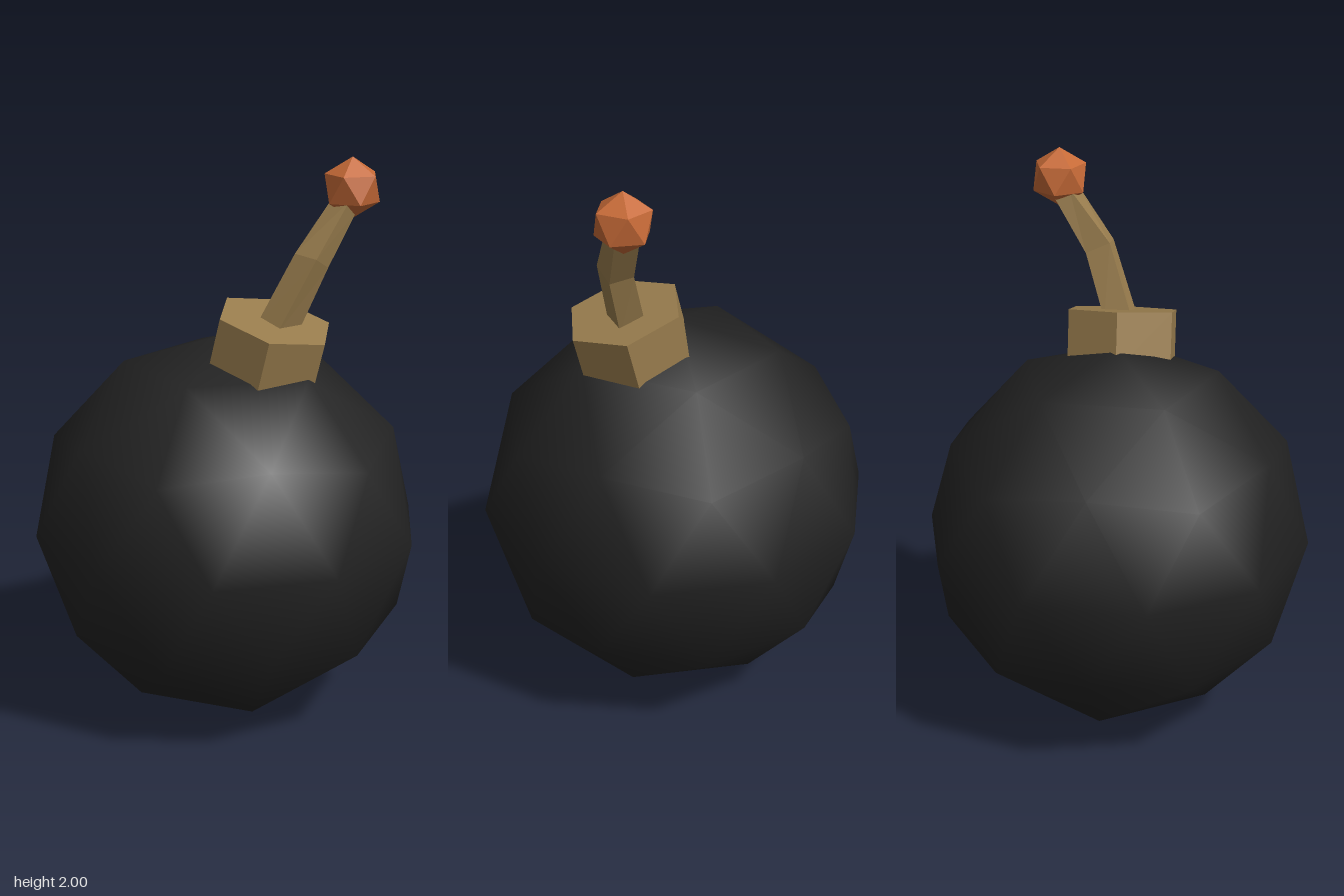
import * as THREE from 'three';

const shell = new THREE.MeshStandardMaterial({ color: 0x222222 });
shell.name = 'black shell';
const tan = new THREE.MeshStandardMaterial({ color: 0x987c4d, flatShading: true });
tan.name = 'tan rope';
const ember = new THREE.MeshStandardMaterial({ color: 0xc66a37, flatShading: true });
ember.name = 'orange ember';

// Icosahedron turned so that one corner points straight up
function polarIcosahedron(radius, detail) {
  const g = new THREE.IcosahedronGeometry(radius, detail);
  g.rotateZ(-Math.atan(1 / ((1 + Math.sqrt(5)) / 2)));
  return g;
}

// Closed loft through four-cornered sections, listed from bottom to top
function loft(sections) {
  const pos = [];
  const quad = (a, b, c, d) => pos.push(...a, ...b, ...c, ...a, ...c, ...d);
  for (let s = 0; s < sections.length - 1; s++) {
    const lo = sections[s], hi = sections[s + 1];
    for (let i = 0; i < 4; i++) {
      const j = (i + 1) % 4;
      quad(lo[i], lo[j], hi[j], hi[i]);
    }
  }
  quad(...[...sections[0]].reverse());
  quad(...sections[sections.length - 1]);
  const g = new THREE.BufferGeometry();
  g.setAttribute('position', new THREE.Float32BufferAttribute(pos, 3));
  g.computeVertexNormals();
  return g;
}

export function createModel() {
  const group = new THREE.Group();
  const add = (name, geometry, material) => {
    const mesh = new THREE.Mesh(geometry, material);
    mesh.name = name;
    group.add(mesh);
    return mesh;
  };

  // Round body
  add('body', polarIcosahedron(0.69, 1), shell).position.y = 0.69;

  // Hexagonal collar, set radially on the body and leaning forwards
  const up = new THREE.Vector3(0.095, 0.966, 0.24).normalize();
  const corner = new THREE.Vector3(0.075, -0.058, 0.187);
  corner.addScaledVector(up, -corner.dot(up)).normalize();
  const side = new THREE.Vector3().crossVectors(up, corner);
  const collar = add('collar', new THREE.CylinderGeometry(0.21, 0.21, 0.2, 6), tan);
  collar.quaternion.setFromRotationMatrix(new THREE.Matrix4().makeBasis(side, up, corner));
  collar.position.set(0, 0.69, 0).addScaledVector(up, 0.692);

  // Bent square fuse
  add('fuse', loft([
    [[0.02, 1.435, 0.152], [0.045, 1.42, 0.242], [0.152, 1.41, 0.217], [0.118, 1.43, 0.127]],
    [[0.14, 1.685, 0.21], [0.17, 1.675, 0.295], [0.24, 1.635, 0.265], [0.22, 1.645, 0.18]],
    [[0.30, 1.865, 0.205], [0.31, 1.86, 0.285], [0.356, 1.82, 0.265], [0.345, 1.83, 0.18]],
  ]), tan);

  // Glowing tip
  add('fuseTip', polarIcosahedron(0.106, 0), ember).position.set(0.355, 1.894, 0.236);

  return group;
}
